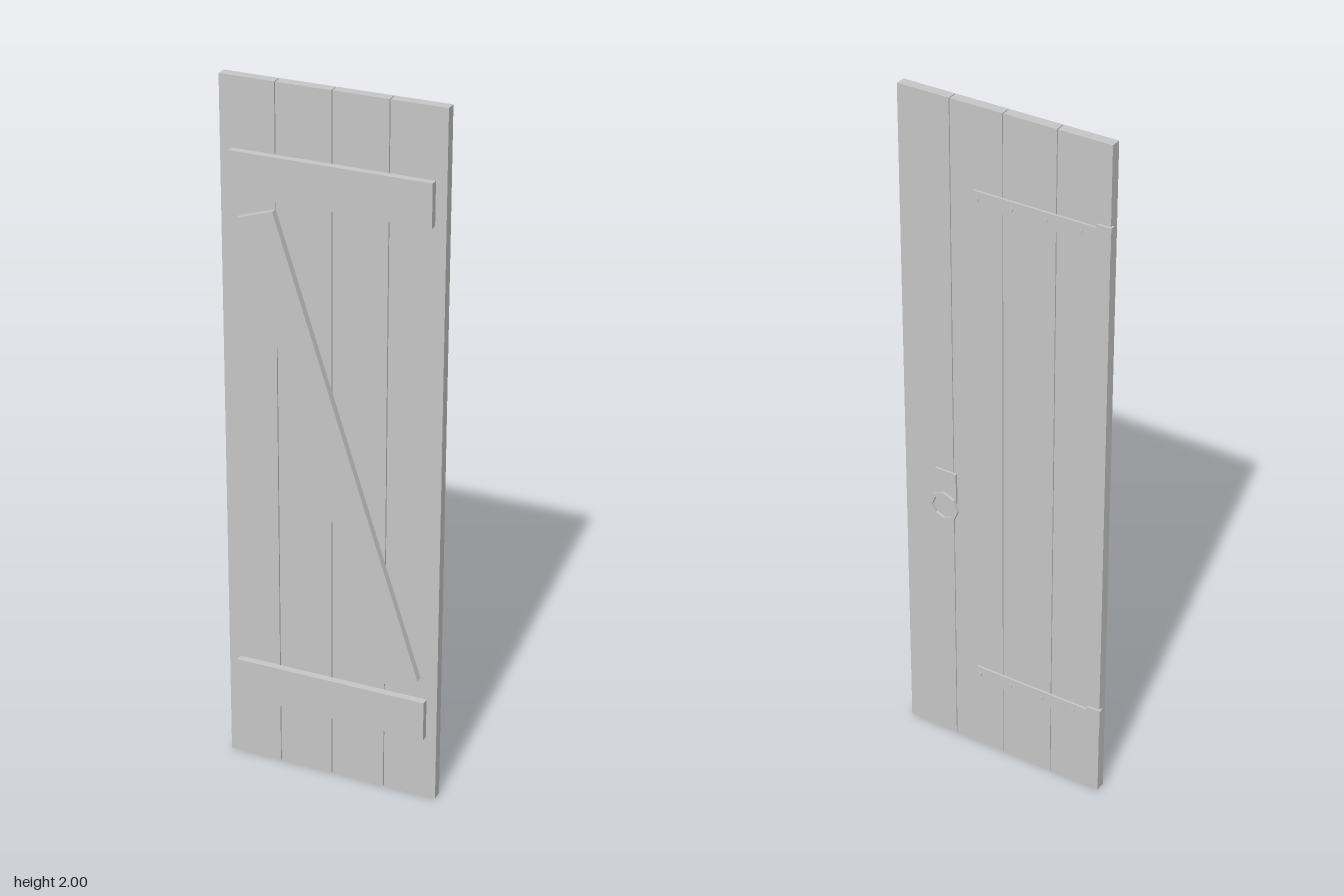
import * as THREE from 'three';

const grey = new THREE.MeshStandardMaterial({ color: 0xc6c6c6 });
grey.name = 'plain light grey';

export function createModel() {
  const door = new THREE.Group();
  door.name = 'plankDoor';

  const add = (name, geometry, parent = door) => {
    const mesh = new THREE.Mesh(geometry, grey);
    mesh.name = name;
    parent.add(mesh);
    return mesh;
  };
  // Box given by its limits on each axis
  const box = (name, x0, x1, y0, y1, z0, z1, parent) => {
    const mesh = add(name, new THREE.BoxGeometry(x1 - x0, y1 - y0, z1 - z0), parent);
    mesh.position.set((x0 + x1) / 2, (y0 + y1) / 2, (z0 + z1) / 2);
    return mesh;
  };

  const back = -0.0155, front = 0.0135, battenFront = 0.0345;

  // Four upright planks with narrow open gaps
  const pitch = 0.1552, gap = 0.0025;
  for (let i = 0; i < 4; i++) {
    const x = -0.307 + i * pitch;
    box('plank', x, x + pitch - gap, 0, 2, back, front);
  }

  // Cross battens and diagonal brace
  box('upperBatten', -0.275, 0.281, 1.688, 1.808, front, battenFront);
  box('lowerBatten', -0.275, 0.281, 0.193, 0.312, front, battenFront);
  const brace = box('diagonalBrace', -0.053, 0.053, 0, 1.351, front, battenFront);
  brace.position.set(0.004, 1.002, (front + battenFront) / 2);
  brace.rotation.z = Math.atan2(0.416, 1.285);

  // Strap hinges: leaf wrapped over the edge, long strap, four nails
  for (const y of [1.747, 0.252]) {
    const hinge = new THREE.Group();
    hinge.name = 'strapHinge';
    hinge.position.y = y;
    door.add(hinge);
    box('hingeLeaf', -0.312, -0.271, -0.032, 0.032, -0.0225, -0.007, hinge);
    box('hingeStrap', -0.271, 0.083, -0.022, 0.022, -0.0225, back, hinge);
    for (let i = 0; i < 4; i++) {
      const nail = add('hingeNail', new THREE.CylinderGeometry(0.007, 0.007, 0.004, 8), hinge);
      nail.rotation.x = Math.PI / 2;
      nail.position.set(-0.225 + i * 0.1, 0, -0.0235);
    }
  }

  // Handle plate and eight-sided pull ring
  box('handlePlate', 0.147, 0.213, 0.797, 0.893, -0.0225, back);
  const octagon = (r) => Array.from({ length: 8 }, (_, i) =>
    new THREE.Vector2(r * Math.cos(i * Math.PI / 4), r * Math.sin(i * Math.PI / 4)));
  const ringShape = new THREE.Shape(octagon(0.046));
  ringShape.holes.push(new THREE.Path(octagon(0.035).reverse()));
  const ring = add('pullRing', new THREE.ExtrudeGeometry(ringShape, { depth: 0.009, bevelEnabled: false }));
  ring.position.set(0.18, 0.784, -0.036);

  return door;
}
